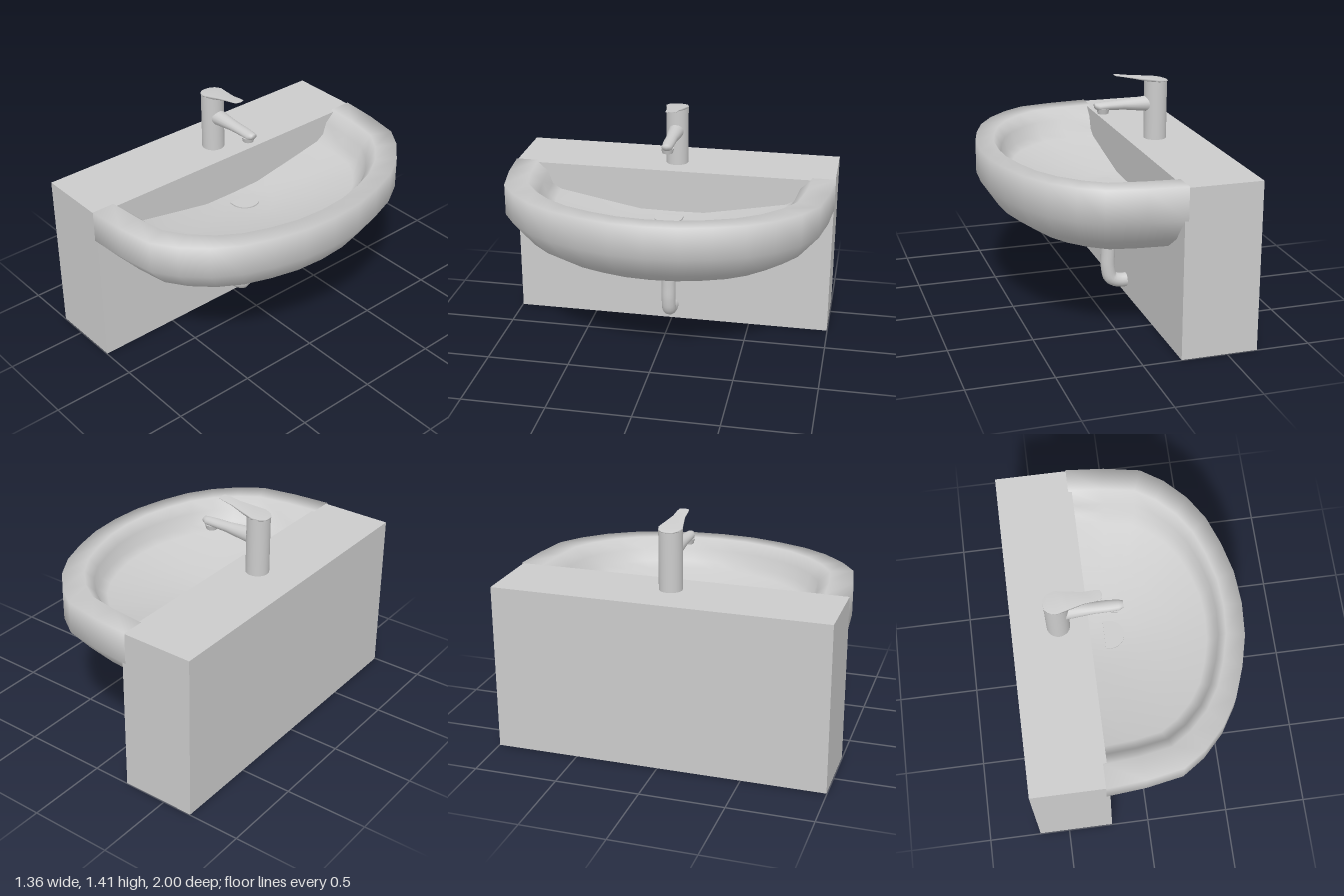
import * as THREE from 'three';
import { mergeVertices } from 'three/addons/utils/BufferGeometryUtils.js';

const material = new THREE.MeshStandardMaterial({ color: 0xcccccc, side: THREE.DoubleSide });

function add(group, name, geometry) {
  const mesh = new THREE.Mesh(geometry, material);
  mesh.name = name;
  group.add(mesh);
  return mesh;
}

// Smooth skin through rows of [x, y, z] points, all rows of equal length
function skin(rows) {
  const n = rows[0].length, index = [];
  for (let i = 0; i < rows.length - 1; i++) {
    for (let j = 0; j < n - 1; j++) {
      const a = i * n + j, b = a + n;
      index.push(a, a + 1, b, a + 1, b + 1, b);
    }
  }
  const g = new THREE.BufferGeometry();
  g.setAttribute('position', new THREE.Float32BufferAttribute(rows.flat(2), 3));
  g.setIndex(index);
  const merged = mergeVertices(g, 1e-4);
  merged.computeVertexNormals();
  return merged;
}

// Plan outline of half the bowl: [share of depth, share of half width]
const half = [[0, 1], [0.25, 0.98], [0.486, 0.94], [0.63, 0.85], [0.765, 0.72],
  [0.865, 0.57], [0.935, 0.39], [0.985, 0.2], [1, 0]];
const plan = [...half, ...half.slice(0, -1).reverse().map(([u, v]) => [u, -v])];

// Bowl ring: back x, front x, half width, height
const bowlRing = ([back, front, w, y]) =>
  plan.map(([u, v]) => [back + u * (front - back), y, v * w]);

// Closed oval section across x: x, centre y, half height, half width
const ovalRing = ([x, y, h, w]) => Array.from({ length: 17 }, (_, i) => {
  const a = (i % 16) * Math.PI / 8;
  return [x, y + h * Math.sin(a), w * Math.cos(a)];
});

function addTap(parent) {
  const tap = new THREE.Group();
  tap.name = 'tap';
  parent.add(tap);

  // Upright body with a slanted top
  const body = new THREE.CylinderGeometry(0.069, 0.069, 0.36, 24);
  body.translate(-0.406, 1.188, 0);
  const p = body.attributes.position;
  for (let i = 0; i < p.count; i++) {
    if (p.getY(i) > 1.2) p.setY(i, 1.362 + 0.1 * (p.getX(i) + 0.475));
  }
  add(tap, 'tapBody', body);

  // Spout, tapering to a blunt tip
  add(tap, 'spout', skin([
    [-0.42, 1.226, 0.054, 0.052], [-0.34, 1.224, 0.046, 0.047],
    [-0.2, 1.226, 0.03, 0.036], [-0.11, 1.226, 0.026, 0.036],
    [-0.05, 1.222, 0.027, 0.032], [-0.024, 1.23, 0.016, 0.022],
    [-0.024, 1.23, 0, 0],
  ].map(ovalRing)));
  const nozzle = add(tap, 'nozzle', new THREE.CylinderGeometry(0.04, 0.032, 0.03, 16));
  nozzle.position.set(-0.075, 1.197, 0);

  // Flat lever rising forward: x, half width, bottom y, top y
  add(tap, 'lever', skin([
    [-0.477, 0, 1.36, 1.365], [-0.473, 0.03, 1.36, 1.365],
    [-0.45, 0.056, 1.362, 1.369], [-0.406, 0.07, 1.364, 1.375],
    [-0.34, 0.055, 1.37, 1.384], [-0.25, 0.036, 1.389, 1.396],
    [-0.18, 0.034, 1.404, 1.406], [-0.15, 0.028, 1.408, 1.411], [-0.14, 0, 1.41, 1.412],
  ].map(([x, w, lo, hi]) => [[x, lo, w], [x, hi, w], [x, hi, -w], [x, lo, -w], [x, lo, w]])));
}

export function createModel() {
  const model = new THREE.Group();
  model.name = 'washbasin';

  // Wall block behind the bowl
  const block = add(model, 'wallBlock', new THREE.BoxGeometry(0.455, 1.008, 1.994));
  block.position.set(-0.4555, 0.504, 0);

  // Bowl: underside, upright outer wall, flat rim, inner wall and floor
  add(model, 'bowl', skin([
    [-0.23, -0.229, 0.001, 0.442], [-0.23, 0.05, 0.31, 0.442],
    [-0.23, 0.26, 0.51, 0.505], [-0.23, 0.46, 0.75, 0.59],
    [-0.23, 0.58, 0.875, 0.675], [-0.25, 0.678, 1, 0.822],
    [-0.25, 0.678, 1, 1.015], [-0.25, 0.57, 0.86, 1.015],
    [-0.23, 0.53, 0.79, 0.95], [-0.23, 0.515, 0.765, 0.875],
    [-0.23, 0.47, 0.71, 0.84], [-0.23, 0.25, 0.42, 0.785],
    [-0.23, 0.06, 0.2, 0.745], [-0.23, -0.229, 0.001, 0.742],
  ].map(bowlRing)));

  // D-shaped drain plate in the bowl floor
  const d = new THREE.Shape();
  d.moveTo(-0.14, -0.088);
  d.lineTo(-0.108, -0.088);
  d.absarc(-0.108, 0, 0.088, -Math.PI / 2, Math.PI / 2, false);
  d.lineTo(-0.14, 0.088);
  const drain = new THREE.ExtrudeGeometry(d, { depth: 0.012, bevelEnabled: false, curveSegments: 12 });
  drain.rotateX(-Math.PI / 2);
  add(model, 'drain', drain).position.y = 0.74;

  // Waste pipe bending back into the block
  const path = new THREE.CatmullRomCurve3([
    [-0.11, 0.5], [-0.11, 0.42], [-0.11, 0.29], [-0.11, 0.19],
    [-0.128, 0.122], [-0.18, 0.097], [-0.26, 0.096],
  ].map(([x, y]) => new THREE.Vector3(x, y, 0)));
  add(model, 'wastePipe', new THREE.TubeGeometry(path, 24, 0.044, 16));

  addTap(model);
  return model;
}
